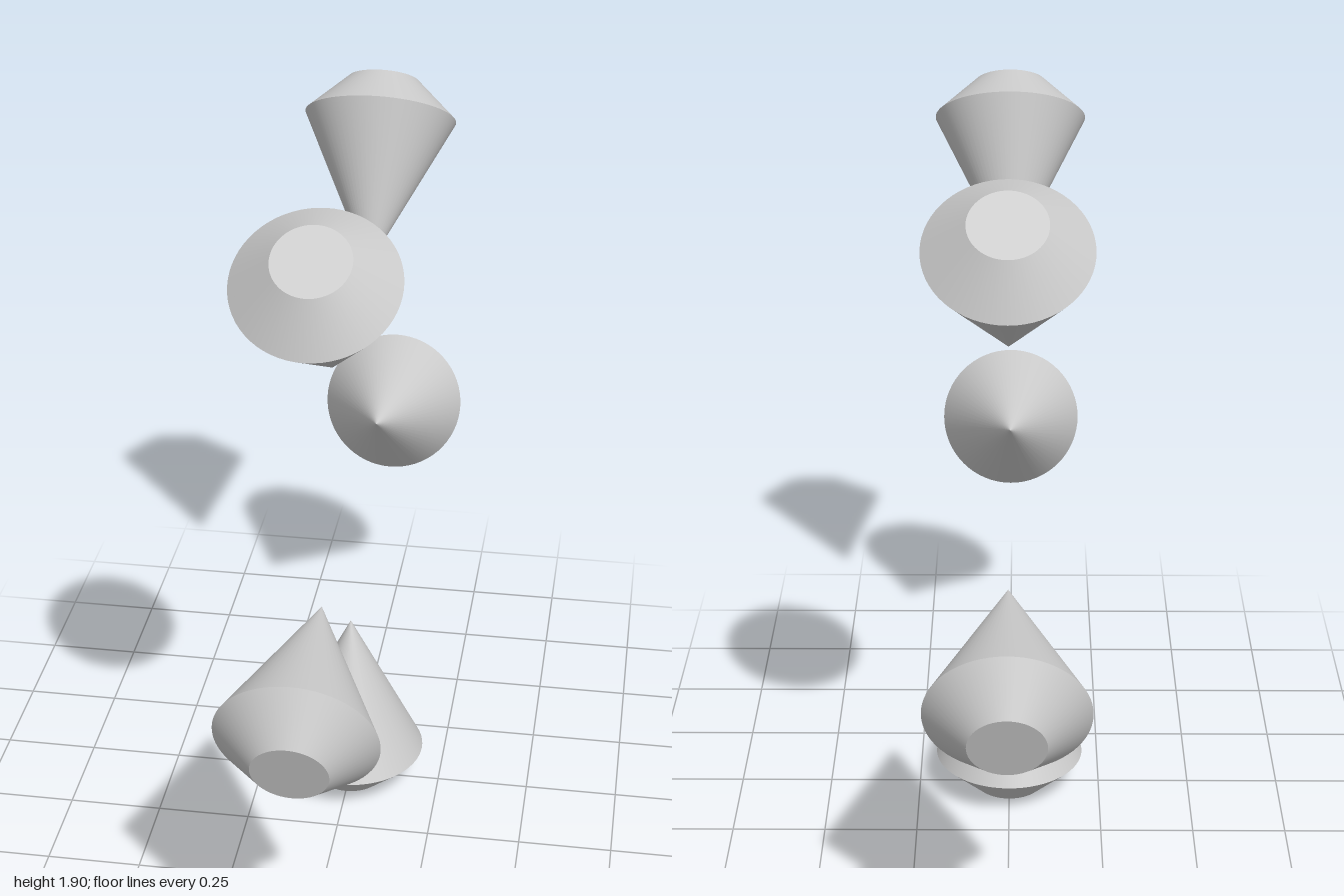
import * as THREE from 'three';

const RING = 1.02;    // distance from ring centre to each gem's flat table
const LENGTH = 0.51;  // table to point
const CROWN = 0.102;  // height of the bevelled crown
const GIRDLE = 0.202; // widest radius
const TABLE = 0.095;  // radius of the flat table
const SIDES = 64;

const material = new THREE.MeshStandardMaterial({ color: 0xcccccc });

function part(name, geometry, y) {
  const mesh = new THREE.Mesh(geometry.translate(0, y, 0), material);
  mesh.name = name;
  return mesh;
}

// One round-cut gem: table at y = 0, point upward
function createGem() {
  const gem = new THREE.Group();
  const pavilion = LENGTH - CROWN;
  gem.add(
    part('pavilion', new THREE.ConeGeometry(GIRDLE, pavilion, SIDES, 1, true), CROWN + pavilion / 2),
    part('crown', new THREE.CylinderGeometry(GIRDLE, TABLE, CROWN, SIDES, 1, true), CROWN / 2),
    part('table', new THREE.CircleGeometry(TABLE, SIDES).rotateX(Math.PI / 2), 0)
  );
  return gem;
}

export function createModel() {
  const model = new THREE.Group();
  model.name = 'gemRing';

  // Five gems in an upright ring, all pointing at its centre
  for (let i = 0; i < 5; i++) {
    const gem = createGem();
    gem.name = `gem${i + 1}`;
    const angle = (i * Math.PI * 2) / 5;
    gem.rotation.x = angle;
    gem.position.set(0, RING - RING * Math.cos(angle), -RING * Math.sin(angle));
    model.add(gem);
  }
  return model;
}
